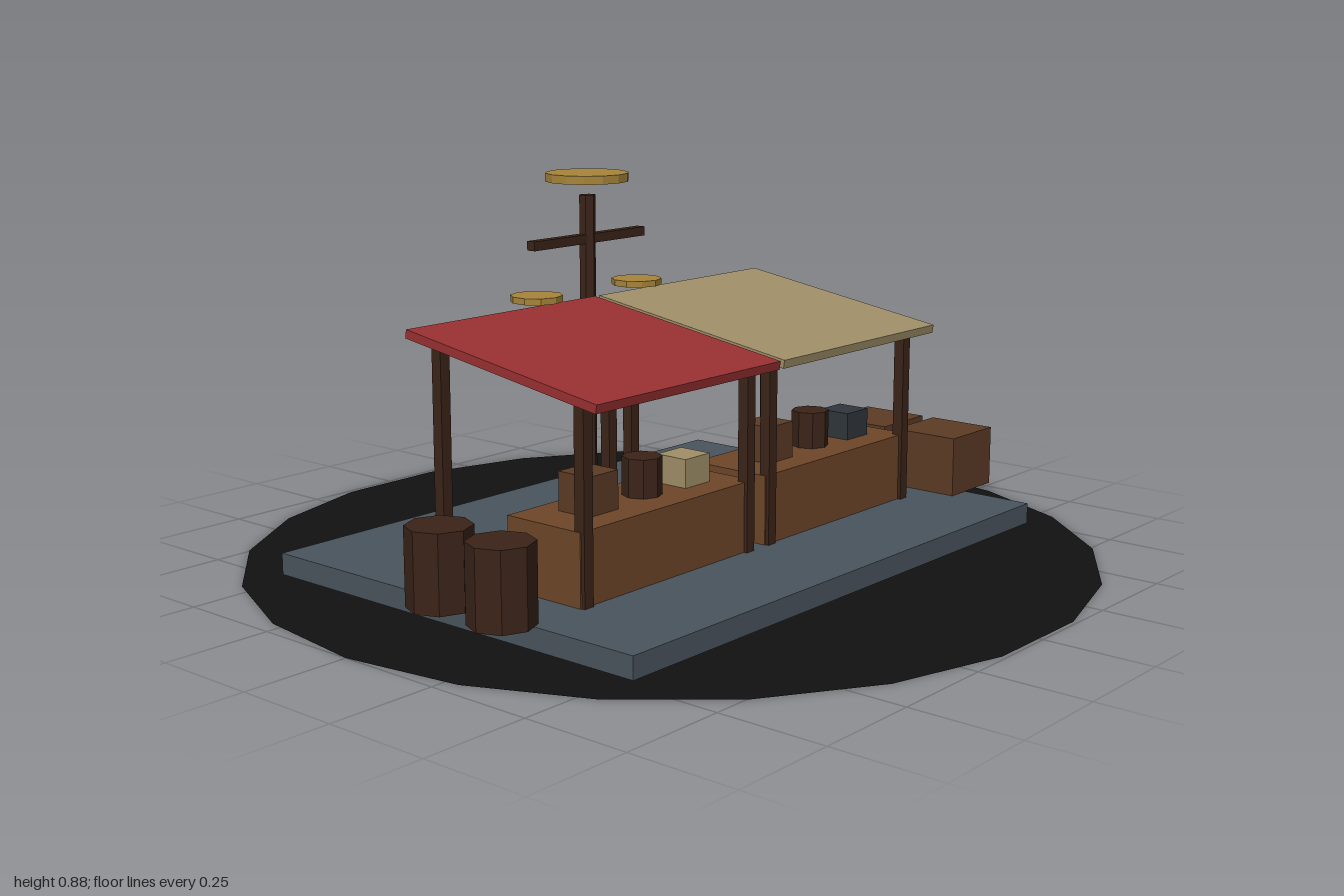
import * as THREE from 'three';

const mat = (color) => new THREE.MeshStandardMaterial({ color, flatShading: true });
const M = {
  ground: mat(0x111111), stone: mat(0x4a545e), wood: mat(0x6e4628), crate: mat(0x5c3b25),
  dark: mat(0x3b2419), red: mat(0x9a3032), tan: mat(0xa08f68), gold: mat(0xa8853a), slate: mat(0x30363c),
};
M.ground.side = THREE.DoubleSide;

const FLOOR = 0.055, COUNTER_TOP = 0.218, POLE_Z = -0.264;

function add(parent, name, geometry, material, x, y, z) {
  const mesh = new THREE.Mesh(geometry, material);
  mesh.name = name;
  mesh.position.set(x, y, z);
  parent.add(mesh);
  return mesh;
}

// Box and cylinder placed by the height of their underside
const box = (p, name, m, w, h, d, x, y, z) =>
  add(p, name, new THREE.BoxGeometry(w, h, d), m, x, y + h / 2, z);
const cyl = (p, name, m, r, h, sides, x, y, z) =>
  add(p, name, new THREE.CylinderGeometry(r, r, h, sides), m, x, y + h / 2, z);

function stall(name, x, roofMaterial, lastGood) {
  const g = new THREE.Group();
  g.name = name;
  g.position.x = x;

  // Counter and the four posts, taller at the back
  box(g, 'counter', M.wood, 0.57, COUNTER_TOP - FLOOR, 0.21, 0, FLOOR, 0.155);
  for (const side of [-1, 1]) {
    box(g, 'frontPost', M.dark, 0.027, 0.485 - FLOOR, 0.027, side * 0.268, FLOOR, 0.255);
    box(g, 'backPost', M.dark, 0.027, 0.555 - FLOOR, 0.027, side * 0.268, FLOOR, -0.163);
  }

  // Awning sloping down to the front
  const roof = add(g, 'awning', new THREE.BoxGeometry(0.602, 0.02, 0.565), roofMaterial, 0, 0.531, 0.043);
  roof.rotation.x = 0.157;

  // Goods on the counter
  box(g, 'goodsBox', M.crate, 0.092, 0.087, 0.088, -0.143, COUNTER_TOP, 0.152);
  cyl(g, 'goodsKeg', M.dark, 0.045, 0.087, 8, 0.03, COUNTER_TOP, 0.152);
  box(g, 'goodsParcel', lastGood, 0.084, 0.066, 0.084, 0.17, COUNTER_TOP, 0.152);
  return g;
}

export function createModel() {
  const model = new THREE.Group();
  model.name = 'marketStalls';

  // Ground ring and paved platform
  const ring = add(model, 'groundRing', new THREE.RingGeometry(0.45, 1, 22), M.ground, 0, 0, 0);
  ring.rotation.x = -Math.PI / 2;
  box(model, 'platform', M.stone, 1.47, 0.05, 1.06, 0, 0.005, 0);

  // Two mirrored stalls
  model.add(stall('redStall', -0.308, M.red, M.tan));
  model.add(stall('tanStall', 0.308, M.tan, M.slate));

  // Lamp post with crossbar, one large and two small discs
  cyl(model, 'lampPole', M.dark, 0.02, 0.825, 6, 0, 0, POLE_Z);
  box(model, 'lampCrossbar', M.dark, 0.385, 0.022, 0.024, 0, 0.71, POLE_Z);
  cyl(model, 'topLamp', M.gold, 0.1, 0.02, 14, 0, 0.858, POLE_Z);
  for (const side of [-1, 1]) {
    cyl(model, 'sideLamp', M.gold, 0.062, 0.015, 10, side * 0.176, 0.59, POLE_Z);
  }

  // Barrels on one side, crates on the other
  for (const z of [0.025, 0.205]) cyl(model, 'barrel', M.dark, 0.073, 0.175, 8, -0.765, FLOOR, z);
  for (const z of [0.054, 0.262]) box(model, 'crate', M.crate, 0.175, 0.147, 0.175, 0.762, FLOOR, z);

  return model;
}
